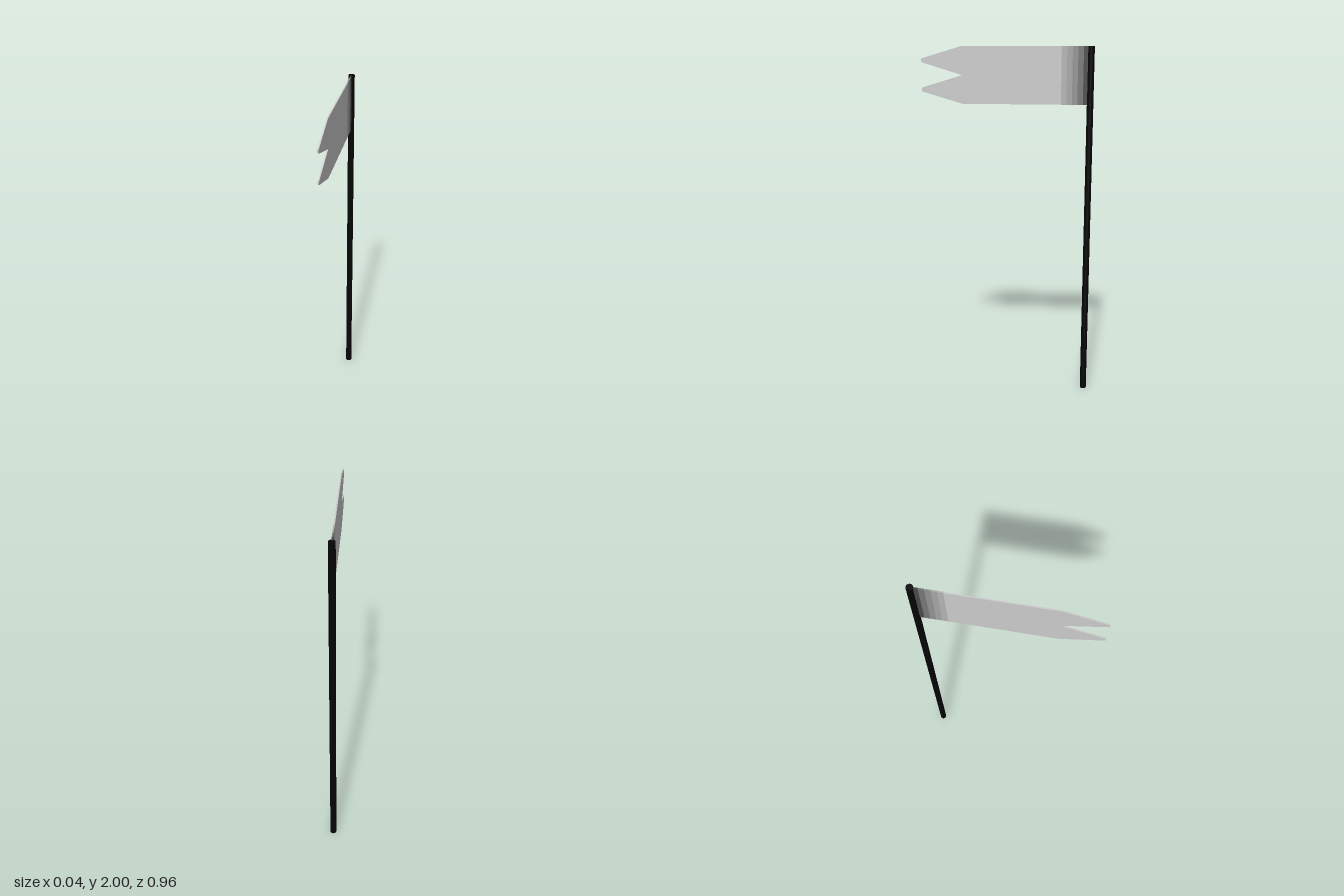
import * as THREE from 'three';

const POLE_Z = -0.46, TOP = 2, BOTTOM = 1.685, THICK = 0.007;
const FADE_START = -0.45, FADE_END = -0.18, BANDS = 9;

function paint(color) {
  return new THREE.MeshStandardMaterial({ color });
}

// Thin upright plate from a (z, y) outline, centred on x = 0
function plate(name, points, color) {
  const shape = new THREE.Shape(points.map(([z, y]) => new THREE.Vector2(z, y)));
  const geometry = new THREE.ExtrudeGeometry(shape, { depth: THICK, bevelEnabled: false });
  geometry.translate(0, 0, -THICK / 2).rotateY(-Math.PI / 2);
  const mesh = new THREE.Mesh(geometry, paint(color));
  mesh.name = name;
  return mesh;
}

export function createModel() {
  const model = new THREE.Group();
  model.name = 'flagOnPole';

  // Pole
  const pole = new THREE.Mesh(new THREE.CylinderGeometry(0.018, 0.018, 2, 12), paint(0x050505));
  pole.name = 'pole';
  pole.position.set(0, 1, POLE_Z);
  model.add(pole);

  // Flag: forked cloth, with bands darkening towards the pole
  const flag = new THREE.Group();
  flag.name = 'flag';
  flag.add(plate('flagCloth', [
    [FADE_END, BOTTOM], [0.25, BOTTOM], [0.478, 1.752], [0.478, 1.772], [0.25, 1.842],
    [0.478, 1.912], [0.478, 1.932], [0.25, TOP], [FADE_END, TOP],
  ], 0xcccccc));

  const width = (FADE_END - FADE_START) / BANDS;
  const dark = new THREE.Color(0x080808), light = new THREE.Color(0xcccccc);
  for (let i = 0; i < BANDS; i++) {
    const z = FADE_START + i * width;
    const t = 1 - (1 - (i + 0.5) / BANDS) ** 2;
    flag.add(plate('flagFadeBand', [
      [z, BOTTOM], [z + width, BOTTOM], [z + width, TOP], [z, TOP],
    ], dark.clone().lerp(light, t)));
  }
  model.add(flag);
  return model;
}
